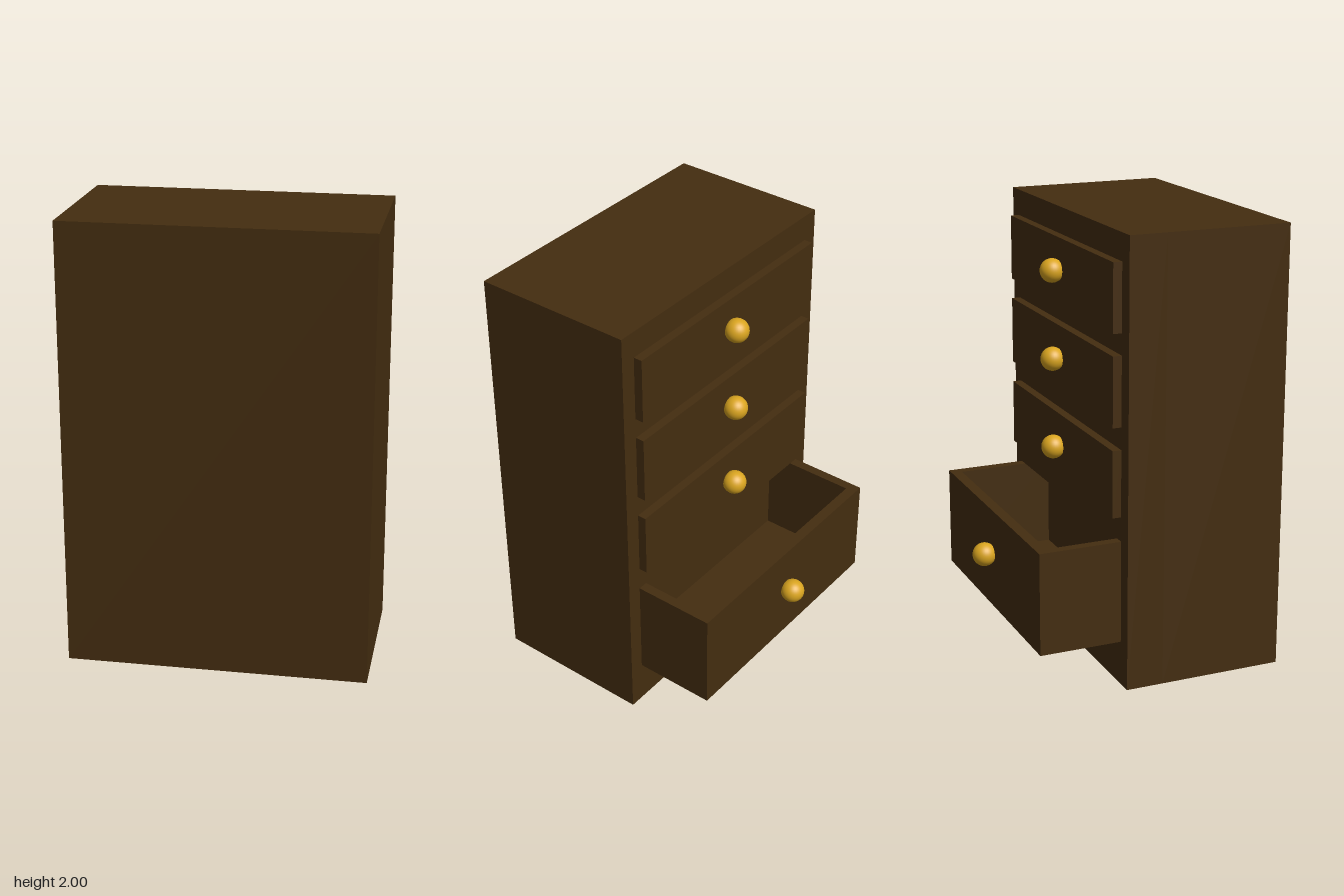
import * as THREE from 'three';

export function createModel() {
  const model = new THREE.Group();
  const wood = new THREE.MeshStandardMaterial({ color: 0x442d10 });
  wood.name = 'darkWood';
  const brass = new THREE.MeshStandardMaterial({ color: 0xdaa520 });
  brass.name = 'brass';

  const frontZ = -0.135; // drawer face of the cabinet looks towards -z
  const nicheZ = 0.035; // back of the open drawer's niche

  function add(parent, name, geometry, material) {
    const mesh = new THREE.Mesh(geometry, material);
    mesh.name = name;
    parent.add(mesh);
    return mesh;
  }

  // Box given by its minimum and maximum corners
  function box(parent, name, [x0, y0, z0], [x1, y1, z1]) {
    const mesh = add(parent, name, new THREE.BoxGeometry(x1 - x0, y1 - y0, z1 - z0), wood);
    mesh.position.set((x0 + x1) / 2, (y0 + y1) / 2, (z0 + z1) / 2);
  }

  function rectangle(path, x, y0, y1) {
    path.moveTo(-x, y0);
    path.lineTo(x, y0);
    path.lineTo(x, y1);
    path.lineTo(-x, y1);
    path.closePath();
    return path;
  }

  function knob(parent, y, z) {
    add(parent, 'knob', new THREE.SphereGeometry(0.054, 32, 20), brass).position.set(0, y, z);
  }

  // Cabinet: a front section with the drawer niche cut out, and a solid rear
  const cabinet = new THREE.Group();
  cabinet.name = 'cabinet';
  const outline = rectangle(new THREE.Shape(), 0.67, 0, 2);
  outline.holes.push(rectangle(new THREE.Path(), 0.6, 0.2, 0.665));
  const shell = new THREE.ExtrudeGeometry(outline, { depth: nicheZ - frontZ, bevelEnabled: false });
  add(cabinet, 'cabinetFront', shell, wood).position.z = frontZ;
  box(cabinet, 'cabinetRear', [-0.67, 0, nicheZ], [0.67, 2, 0.6]);
  model.add(cabinet);

  // Three closed drawers
  for (const [y0, y1, knobY] of [[0.775, 1.075, 0.925], [1.175, 1.485, 1.335], [1.58, 1.88, 1.735]]) {
    const drawer = new THREE.Group();
    drawer.name = 'closedDrawer';
    box(drawer, 'drawerFront', [-0.597, y0, -0.175], [0.597, y1, frontZ]);
    knob(drawer, knobY, -0.207);
    model.add(drawer);
  }

  // Pulled-out bottom drawer with an open top
  const open = new THREE.Group();
  open.name = 'openDrawer';
  box(open, 'drawerFloor', [-0.555, 0.2, -0.46], [0.555, 0.25, -0.015]);
  box(open, 'drawerFront', [-0.6, 0.2, -0.51], [0.6, 0.665, -0.46]);
  box(open, 'drawerBack', [-0.6, 0.2, -0.015], [0.6, 0.665, nicheZ]);
  for (const side of [-1, 1]) {
    const xs = [side * 0.555, side * 0.6].sort((a, b) => a - b);
    box(open, 'drawerSide', [xs[0], 0.2, -0.46], [xs[1], 0.665, -0.015]);
  }
  knob(open, 0.455, -0.546);
  model.add(open);

  return model;
}
